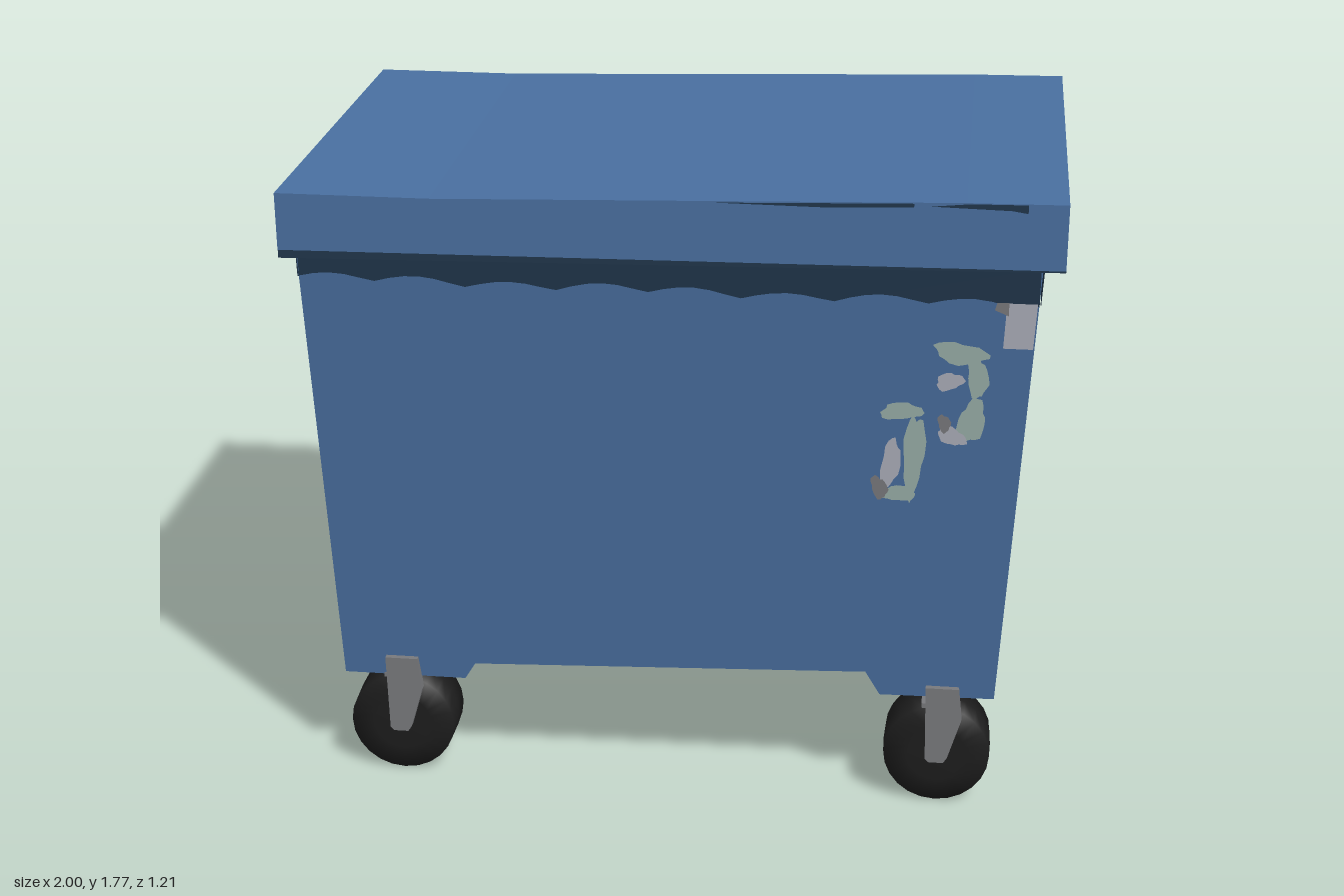
import * as THREE from 'three';

const mat = (name, color, side = THREE.FrontSide) => {
  const m = new THREE.MeshStandardMaterial({ color, side });
  m.name = name;
  return m;
};

// Sloping wall positions of the tapered bin at height y
const frontZ = (y) => 0.49 + (y - 0.31) * 0.08;
const backZ = (y) => -0.475 - (y - 0.31) * 0.077;
const rightX = (y) => 0.88 + (y - 0.33) * 0.051;
const leftX = (y) => -0.92 - (y - 0.3) * 0.028;

const shapeOf = (pts) => new THREE.Shape(pts.map(([x, y]) => new THREE.Vector2(x, y)));

// Extrude an x-y outline between two z walls that may depend on y
function prism(pts, zFront, zBack) {
  const g = new THREE.ExtrudeGeometry(shapeOf(pts), { depth: 1, bevelEnabled: false });
  const p = g.attributes.position;
  for (let i = 0; i < p.count; i++) p.setZ(i, p.getZ(i) > 0.5 ? zFront(p.getY(i)) : zBack(p.getY(i)));
  g.computeVertexNormals();
  return g;
}

// Flat outline (u, y) laid just outside one of the walls
const walls = {
  front: (u, y) => [u, y, frontZ(y) + 0.004],
  back: (u, y) => [-u, y, backZ(y) - 0.004],
  right: (u, y) => [rightX(y) + 0.004, y, u],
  left: (u, y) => [leftX(y) - 0.004, y, u],
};
function decal(pts, wall, lift = 1) {
  const g = new THREE.ShapeGeometry(shapeOf(pts));
  const p = g.attributes.position;
  for (let i = 0; i < p.count; i++) {
    const [x, y, z] = walls[wall](p.getX(i), p.getY(i));
    const dz = wall === 'front' ? 0.001 : wall === 'back' ? -0.001 : 0;
    p.setXYZ(i, x, y, z + dz * lift);
  }
  g.computeVertexNormals();
  return g;
}

// Irregular worn-paint outline
function blob(cx, cy, rx, ry, tilt, phase) {
  const pts = [];
  for (let i = 0; i < 20; i++) {
    const a = (i / 20) * Math.PI * 2;
    const r = 1 + 0.13 * Math.sin(3 * a + phase) + 0.07 * Math.sin(7 * a + phase * 2);
    const x = Math.cos(a) * rx * r, y = Math.sin(a) * ry * r;
    pts.push([cx + x * Math.cos(tilt) - y * Math.sin(tilt), cy + x * Math.sin(tilt) + y * Math.cos(tilt)]);
  }
  return pts;
}

// Band with a scalloped lower edge
function scallops(u0, u1, yTop0, yTop1, count) {
  const pts = [[u1, yTop1], [u0, yTop0]];
  const n = count * 6;
  for (let i = 0; i <= n; i++) {
    const t = i / n;
    const y = 1.495 + 0.022 * Math.abs(Math.sin(t * count * Math.PI + 0.6)) + 0.004 * Math.sin(t * 17);
    pts.push([u0 + (u1 - u0) * t, y]);
  }
  return pts;
}

export function createModel() {
  const blue = mat('blue paint', 0x4a70a1);
  const navy = mat('dark navy trim', 0x21364c, THREE.DoubleSide);
  const rubber = mat('black rubber', 0x1d1d1d);
  const steel = mat('grey steel', 0x797a7d);
  const paleGreen = mat('faded green paint', 0x9db3ac, THREE.DoubleSide);
  const paleGrey = mat('pale grey paint', 0xb0b3bf, THREE.DoubleSide);
  const wornGrey = mat('worn grey paint', 0x7d7d80, THREE.DoubleSide);

  const model = new THREE.Group();
  model.name = 'wheeledBin';
  const add = (name, geometry, material, parent = model) => {
    const m = new THREE.Mesh(geometry, material);
    m.name = name;
    parent.add(m);
    return m;
  };

  // Tapered body with a lowered foot bar at each end
  add('body', prism([
    [-0.92, 0.3], [-0.58, 0.3], [-0.55, 0.35], [0.53, 0.395], [0.57, 0.325],
    [0.88, 0.33], [0.945, 1.61], [-0.956, 1.58],
  ], frontZ, backZ), blue);

  // Lid, its dark lower rim and the chipped upper edge
  const half = 0.605;
  add('lid', prism([
    [-1, 1.58], [1, 1.604], [1, 1.775], [0.75, 1.772], [-0.6, 1.732], [-1, 1.732],
  ], () => half, () => -half), blue);
  add('lidRim', prism([[-1, 1.558], [1, 1.599], [1, 1.604], [-1, 1.58]],
    () => half - 0.002, () => -half + 0.002), navy);
  const chips = [
    [[0.12, 1.75], [0.4, 1.748], [0.62, 1.756], [0.62, 1.766], [0.4, 1.759]],
    [[0.66, 1.76], [0.86, 1.756], [0.9, 1.75], [0.9, 1.772], [0.76, 1.77]],
  ];
  for (const s of [1, -1]) {
    for (const c of chips) {
      const g = new THREE.ShapeGeometry(shapeOf(c));
      add('lidEdgeChip', g, navy).position.z = s * (half + 0.002);
    }
    const side = new THREE.ShapeGeometry(shapeOf([
      [0.1, 1.773], [0.16, 1.766], [0.45, 1.762], [0.595, 1.764], [0.6, 1.773]]));
    const m = add('lidEndChip', side, navy);
    m.rotation.y = s * Math.PI / 2;
    m.position.x = 1.0;
  }

  // Scalloped dark band below the lid on all four walls
  add('frontBand', decal(scallops(-0.952, 0.94, 1.575, 1.605, 8), 'front'), navy);
  add('backBand', decal(scallops(-0.94, 0.952, 1.605, 1.575, 8), 'back'), navy);
  add('leftBand', decal(scallops(-0.567, 0.585, 1.605, 1.605, 6), 'right'), navy);
  add('rightBand', decal(scallops(-0.567, 0.585, 1.575, 1.575, 6), 'left'), navy);

  // Worn abstract paint patches near one corner of the front and back
  const patches = [
    [blob(0.75, 1.365, 0.068, 0.03, -0.15, 0.4), paleGreen],
    [blob(0.795, 1.3, 0.026, 0.06, 0.1, 1.9), paleGreen],
    [blob(0.725, 1.285, 0.036, 0.024, 0.3, 2.2), paleGrey],
    [blob(0.785, 1.175, 0.034, 0.062, -0.2, 3.1), paleGreen],
    [blob(0.735, 1.13, 0.04, 0.024, -0.5, 0.9), paleGrey],
    [blob(0.715, 1.165, 0.016, 0.026, 0.2, 1.2), wornGrey],
    [blob(0.605, 1.195, 0.055, 0.024, 0.1, 2.7), paleGreen],
    [blob(0.64, 1.07, 0.027, 0.12, -0.05, 0.2), paleGreen],
    [blob(0.58, 1.04, 0.024, 0.075, -0.15, 1.6), paleGrey],
    [blob(0.6, 0.955, 0.05, 0.022, 0.05, 4.1), paleGreen],
    [blob(0.553, 0.97, 0.02, 0.035, 0.3, 2.0), wornGrey],
    [[[0.855, 1.385], [0.93, 1.385], [0.936, 1.51], [0.86, 1.51]], paleGrey],
    [[[0.83, 1.49], [0.865, 1.475], [0.865, 1.512], [0.835, 1.51]], wornGrey],
  ];
  for (const wall of ['front', 'back'])
    patches.forEach(([pts, m], i) => add('paintPatch', decal(pts, wall, 1 + i * 0.2), m));

  // Castors: rounded-shaded tyre, outer and inner fork plates, top bridge
  const tyre = new THREE.LatheGeometry([
    [0, -0.07], [0.08, -0.07], [0.145, -0.069], [0.147, 0], [0.145, 0.069], [0.08, 0.07], [0, 0.07],
  ].map(([r, y]) => new THREE.Vector2(r, y)), 24).rotateX(Math.PI / 2);
  const plate = (pts, depth) =>
    new THREE.ExtrudeGeometry(shapeOf(pts), { depth, bevelEnabled: false });
  const outer = plate([[-0.03, -0.005], [-0.02, -0.015], [0.02, -0.015], [0.03, 0],
    [0.065, 0.12], [0.055, 0.215], [-0.035, 0.215]], 0.024);
  const inner = plate([[-0.03, 0.01], [0, -0.01], [0.03, 0.01], [0.055, 0.2], [-0.045, 0.2]], 0.012);
  for (const x of [-0.765, 0.73]) {
    for (const s of [1, -1]) {
      const castor = new THREE.Group();
      castor.name = 'castor';
      castor.position.set(x, 0.147, s > 0 ? 0.415 : -0.395);
      add('tyre', tyre, rubber, castor);
      add('outerFork', outer, steel, castor).position.z = s > 0 ? 0.071 : -0.095;
      add('innerFork', inner, steel, castor).position.z = s > 0 ? -0.082 : 0.07;
      const bridge = add('forkBridge', new THREE.BoxGeometry(0.1, 0.014, 0.15), steel, castor);
      bridge.position.set(0.005, 0.15, 0);
      const stem = add('swivelStem', new THREE.CylinderGeometry(0.04, 0.045, 0.05, 16), steel, castor);
      stem.position.y = 0.175;
      model.add(castor);
    }
  }
  return model;
}
